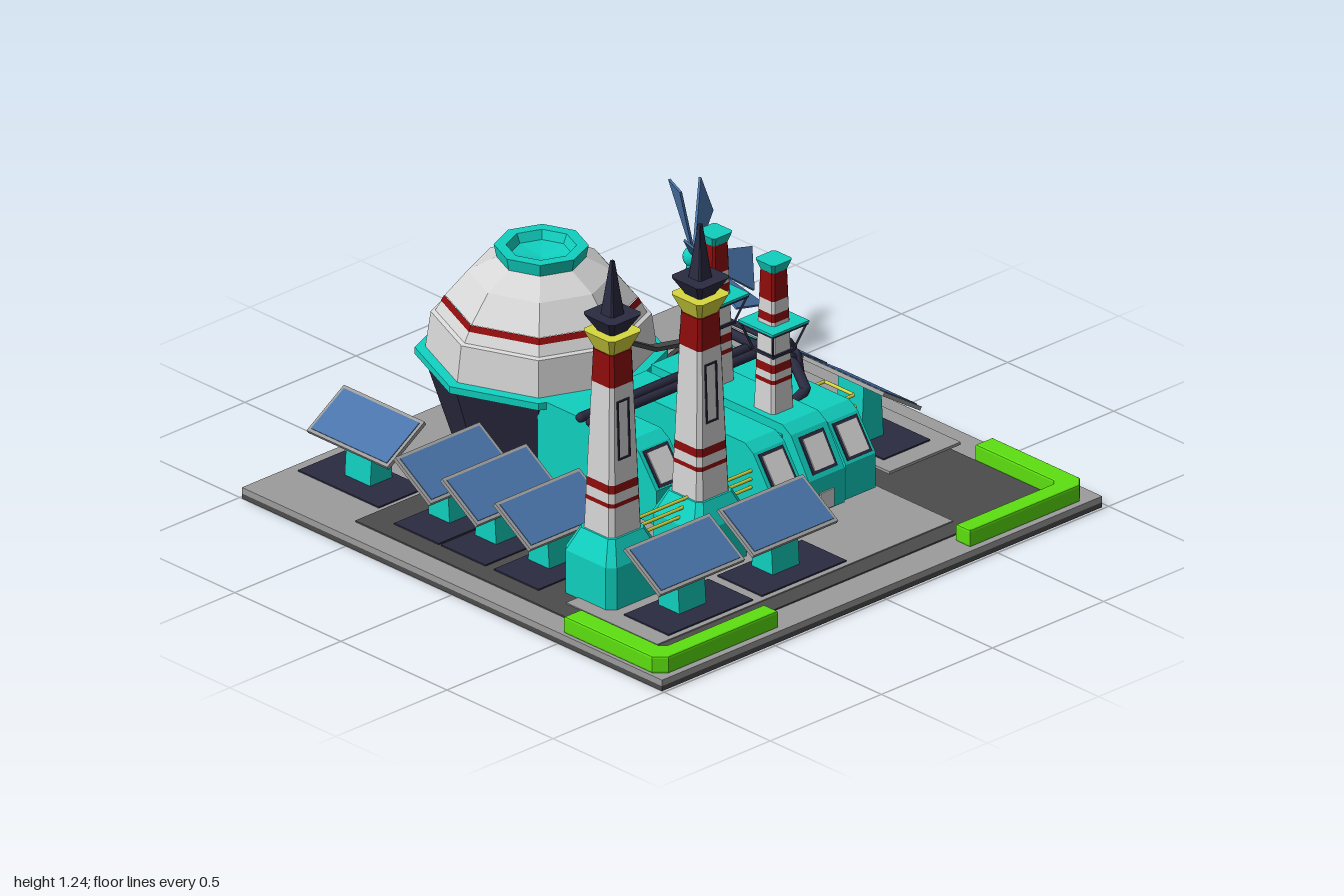
import * as THREE from 'three';

const mat = (name, color) => {
  const m = new THREE.MeshStandardMaterial({ color });
  m.name = name;
  return m;
};

export function createModel() {
  const root = new THREE.Group();
  root.name = 'powerPlant';
  const teal = mat('teal', 0x10d0c0), navy = mat('navy', 0x2b2b42), red = mat('red', 0x8e0c0c);
  const yellow = mat('yellow', 0xd8d840), green = mat('green', 0x5ce010), white = mat('white', 0xd6d6d6);
  const grey = mat('grey', 0x9c9c9c), dark = mat('darkGrey', 0x4c4c4c), blue = mat('blue', 0x4a75aa);

  const flat = (g) => {
    const f = g.index ? g.toNonIndexed() : g;
    f.computeVertexNormals();
    return f;
  };
  const add = (parent, name, geo, m, x = 0, y = 0, z = 0) => {
    const mesh = new THREE.Mesh(geo, m);
    mesh.name = name;
    mesh.position.set(x, y, z);
    parent.add(mesh);
    return mesh;
  };
  // Box given by its limits
  const block = (parent, name, m, x0, x1, y0, y1, z0, z1) =>
    add(parent, name, new THREE.BoxGeometry(x1 - x0, y1 - y0, z1 - z0), m, (x0 + x1) / 2, (y0 + y1) / 2, (z0 + z1) / 2);
  // Tapered square column with chamfered corners, w = half width
  const column = (parent, name, m, y0, y1, w0, w1) => {
    const g = new THREE.CylinderGeometry(w1 / 0.924, w0 / 0.924, y1 - y0, 8);
    g.rotateY(Math.PI / 8);
    const p = g.attributes.position;
    for (let i = 0; i < p.count; i++) {
      const x = p.getX(i), z = p.getZ(i);
      if (Math.abs(x) < Math.abs(z)) p.setX(i, x * 1.9);
      else p.setZ(i, z * 1.9);
    }
    return add(parent, name, flat(g), m, 0, (y0 + y1) / 2, 0);
  };
  // Pipe with straight runs through the points
  const pipe = (name, m, r, pts) => {
    const path = new THREE.CurvePath();
    const v = pts.map((p) => new THREE.Vector3(...p));
    for (let i = 1; i < v.length; i++) path.add(new THREE.LineCurve3(v[i - 1], v[i]));
    add(root, name, new THREE.TubeGeometry(path, 12 * (v.length - 1), r, 8), m);
    for (const e of [v[0], v[v.length - 1]]) add(root, name + 'End', new THREE.SphereGeometry(r, 8, 6), m, e.x, e.y, e.z);
  };

  // Ground slab and paving
  block(root, 'slabLower', dark, -1, 0.98, 0, 0.018, -0.99, 0.99);
  block(root, 'slabUpper', grey, -1, 0.98, 0.018, 0.04, -0.99, 0.99);
  block(root, 'asphalt', dark, -0.91, 0.86, 0.04, 0.045, -0.55, 0.87);
  block(root, 'frontPaving', grey, -0.84, 0.49, 0.045, 0.049, 0.37, 0.8);
  block(root, 'middlePaving', grey, -0.38, 0.49, 0.045, 0.049, -0.5, 0.37);
  block(root, 'raisedPad', grey, 0.51, 0.83, 0.097, 0.107, -0.48, 0.48);

  // Corner hedges
  const hedge = new THREE.Shape();
  [[-0.985, 0.525], [-0.985, 0.93], [-0.95, 0.965], [-0.465, 0.965], [-0.465, 0.91], [-0.9, 0.91], [-0.92, 0.89], [-0.92, 0.525]]
    .forEach(([x, z], i) => (i ? hedge.lineTo(x, -z) : hedge.moveTo(x, -z)));
  for (const s of [1, -1]) {
    const sh = s > 0 ? hedge : new THREE.Shape(hedge.getPoints().map((p) => new THREE.Vector2(-0.055 - p.x, p.y)));
    const g = new THREE.ExtrudeGeometry(sh, { depth: 0.045, bevelThickness: 0.009, bevelSize: 0.006, bevelSegments: 2 });
    g.rotateX(-Math.PI / 2);
    add(root, s > 0 ? 'rightHedge' : 'leftHedge', g, green, 0, 0.049, 0);
  }

  // Solar panels: the low edge faces the local +z
  const solarPanel = (x, z, turn, ground) => {
    const g = new THREE.Group();
    g.name = 'solarPanel';
    g.position.set(x, ground, z);
    g.rotation.y = turn;
    block(g, 'panelPad', navy, -0.19, 0.19, 0, 0.005, -0.105, 0.105);
    const s = new THREE.Shape();
    s.moveTo(-0.08, 0); s.lineTo(0.02, 0); s.lineTo(0.01, 0.155); s.lineTo(-0.07, 0.208);
    const post = new THREE.ExtrudeGeometry(s, { depth: 0.12, bevelEnabled: false });
    post.translate(0, 0, -0.06).rotateY(-Math.PI / 2).scale(1, 1, 1);
    add(g, 'panelPost', post, teal);
    const tilt = new THREE.Group();
    tilt.name = 'panelTable';
    tilt.position.set(0, 0.185, -0.02);
    tilt.rotation.x = 0.574;
    block(tilt, 'panelFrame', grey, -0.19, 0.19, -0.008, 0.006, -0.1, 0.1);
    block(tilt, 'panelCells', blue, -0.178, 0.178, 0.006, 0.009, -0.088, 0.088);
    g.add(tilt);
    root.add(g);
  };
  for (const z of [-0.335, -0.115, 0.135]) solarPanel(-0.65, z, 0, 0.046);
  for (const x of [-0.58, -0.16]) solarPanel(x, 0.675, 0, 0.049);
  solarPanel(-0.68, -0.76, -Math.PI / 2, 0.04);
  for (const z of [-0.21, 0.215]) solarPanel(0.66, z, Math.PI / 2, 0.107);

  // Tall chimneys
  for (const x of [-0.665, -0.27]) {
    const c = new THREE.Group();
    c.name = 'tallChimney';
    c.position.set(x, 0, 0.405);
    column(c, 'chimneyBase', teal, 0.001, 0.2, 0.12, 0.12);
    column(c, 'chimneyShoulder', teal, 0.2, 0.28, 0.12, 0.08);
    const w = (y) => 0.073 - (y - 0.27) * 0.036;
    [[0.27, 0.385, white], [0.385, 0.4, red], [0.4, 0.435, white], [0.435, 0.465, red], [0.465, 0.81, white], [0.81, 0.925, red]]
      .forEach(([a, b, m]) => column(c, m === red ? 'chimneyStripe' : 'chimneyShaft', m, a, b, w(a), w(b)));
    column(c, 'chimneyRim', yellow, 0.925, 0.99, 0.045, 0.073);
    column(c, 'chimneyCollar', navy, 0.985, 1.05, 0.035, 0.073);
    column(c, 'chimneySpike', navy, 1.05, 1.24, 0.03, 0.006);
    // Outlined access panel on the front
    const f = new THREE.Group();
    f.name = 'accessPanel';
    f.position.set(-0.008, 0.655, w(0.655) + 0.001);
    f.rotation.x = -0.036;
    for (const s of [-1, 1]) {
      block(f, 'panelSide', navy, s * 0.024 - 0.003, s * 0.024 + 0.003, -0.105, 0.105, 0, 0.004);
      block(f, 'panelEnd', navy, -0.024, 0.024, s * 0.102 - 0.003, s * 0.102 + 0.003, 0, 0.004);
    }
    c.add(f);
    root.add(c);
  }

  // Small chimneys with a gallery
  for (const z of [0, 0.28]) {
    const c = new THREE.Group();
    c.name = 'smallChimney';
    c.position.set(0.18, 0, z);
    const w = (y) => 0.051 - (y - 0.36) * 0.032;
    [[0.36, 0.49, white], [0.49, 0.505, red], [0.505, 0.53, white], [0.53, 0.56, red], [0.56, 0.71, white],
      [0.71, 0.74, red], [0.74, 0.785, white], [0.785, 0.885, red]]
      .forEach(([a, b, m]) => column(c, m === red ? 'stackStripe' : 'stackShaft', m, a, b, w(a), w(b)));
    column(c, 'stackCap', teal, 0.885, 0.92, 0.034, 0.046);
    block(c, 'galleryFloor', teal, -0.082, 0.082, 0.69, 0.697, -0.082, 0.082);
    block(c, 'galleryRing', navy, -0.08, 0.08, 0.682, 0.69, -0.08, 0.08);
    block(c, 'galleryFoot', navy, -0.05, 0.05, 0.587, 0.597, -0.05, 0.05);
    for (const sx of [-1, 1]) for (const sz of [-1, 1]) {
      const path = new THREE.LineCurve3(new THREE.Vector3(sx * 0.046, 0.59, sz * 0.046), new THREE.Vector3(sx * 0.077, 0.688, sz * 0.077));
      add(c, 'galleryStrut', new THREE.TubeGeometry(path, 1, 0.004, 5), navy);
    }
    root.add(c);
  }

  // Eight-sided reactor dome, stacked rings of [radius, height]
  const ring = (name, m, pts) =>
    add(root, name, flat(new THREE.LatheGeometry(pts.map((p) => new THREE.Vector2(...p)), 8)), m, -0.035, 0, -0.59);
  ring('domeBowl', navy, [[0, 0.041], [0.29, 0.041], [0.385, 0.335]]);
  ring('domeRim', teal, [[0.37, 0.33], [0.412, 0.335], [0.412, 0.36], [0.36, 0.365]]);
  ring('domeWall', white, [[0.378, 0.36], [0.36, 0.49], [0.345, 0.495], [0.325, 0.53]]);
  ring('domeStripe', red, [[0.327, 0.53], [0.316, 0.55]]);
  ring('domeRoof', white, [[0.314, 0.55], [0.24, 0.64], [0.14, 0.695]]);
  ring('domeCrown', teal, [[0.145, 0.685], [0.155, 0.735], [0.115, 0.735], [0.1, 0.705], [0, 0.69]]);

  // Halls: side profile extruded across x, with a sloped front window
  const hall = (name, x0, x1, zf, zb, top) => {
    const s = new THREE.Shape();
    [[zf, 0.095], [zf, 0.22], [zf - 0.085, top - 0.025], [zf - 0.125, top], [zb, top], [zb, 0.095]]
      .forEach(([z, y], i) => (i ? s.lineTo(-z, y) : s.moveTo(-z, y)));
    const g = new THREE.ExtrudeGeometry(s, { depth: x1 - x0, bevelEnabled: false });
    g.rotateY(Math.PI / 2);
    add(root, name, g, teal, x0, 0, 0);
    const win = new THREE.Group(), rise = top - 0.245;
    win.name = name + 'Window';
    win.position.set((x0 + x1) / 2, rise / 2 + 0.11, zf - 0.0425);
    win.rotation.x = -Math.atan2(0.085, rise);
    block(win, 'windowFrame', navy, -0.055, 0.055, -0.066, 0.066, 0, 0.004);
    block(win, 'windowPane', white, -0.045, 0.045, -0.056, 0.056, 0.004, 0.008);
    root.add(win);
    win.position.y = (0.22 + top - 0.025) / 2;
  };
  hall('rightBay', -0.055, 0.085, 0.515, -0.22, 0.37);
  hall('middleBay', 0.105, 0.265, 0.525, -0.22, 0.385);
  hall('leftBay', 0.28, 0.415, 0.515, -0.22, 0.37);
  hall('tunnel', -0.3, -0.16, 0.23, -0.33, 0.36);
  block(root, 'hallCore', teal, -0.05, 0.41, 0.095, 0.35, -0.21, 0.4);
  block(root, 'door', white, 0.155, 0.215, 0.1, 0.165, 0.525, 0.53);
  block(root, 'sideWindowFrame', navy, 0.415, 0.418, 0.14, 0.23, 0.395, 0.505);
  block(root, 'sideWindow', white, 0.418, 0.421, 0.15, 0.222, 0.405, 0.495);

  // Dark pipes over the halls
  for (const z of [-0.033, 0.015])
    pipe('crossPipe', navy, 0.017, [[-0.39, 0.425, z], [0.49, 0.425, z], [0.515, 0.4, z], [0.515, 0.22, z], [0.49, 0.2, z], [0.42, 0.2, z]]);
  pipe('roofPipe', navy, 0.018, [[0.27, 0.36, 0.27], [0.34, 0.385, 0.265], [0.37, 0.44, 0.18], [0.37, 0.445, -0.23], [0.37, 0.41, -0.26], [0.37, 0.3, -0.26]]);
  pipe('wallPipe', navy, 0.01, [[0.37, 0.42, -0.25], [0.44, 0.42, -0.25], [0.465, 0.42, -0.21], [0.465, 0.42, 0.1], [0.465, 0.2, 0.14]]);
  pipe('lowPipe', navy, 0.015, [[0.46, 0.165, 0.22], [0.46, 0.165, -0.12]]);

  // Yellow feed pipes
  for (const y of [0.22, 0.25, 0.28]) pipe('feedPipe', yellow, 0.006, [[-0.6, y, 0.42], [0, y, 0.42]]);
  [0.23, 0.265, 0.3, 0.33].forEach((y, i) => {
    const x = 0.46 + 0.015 * i;
    pipe('loopPipe', yellow, 0.006, [[0.41, y, 0.38 - 0.02 * i], [x, y, 0.38 - 0.02 * i], [x, y, 0.18], [0.41, y, 0.18]]);
  });

  // Walkway from the dome down to the pad
  const walk = [[0, 0.5, -0.235], [0.13, 0.43, -0.235], [0.33, 0.38, -0.26], [0.37, 0.28, -0.38], [0.43, 0.1, -0.58]].map((p) => new THREE.Vector3(...p));
  for (let i = 1; i < walk.length; i++) {
    const a = walk[i - 1], b = walk[i];
    const m = add(root, 'walkway', new THREE.BoxGeometry(0.035, 0.014, a.distanceTo(b) + 0.01), dark);
    m.position.copy(a).lerp(b, 0.5);
    m.lookAt(b);
  }

  // Wind turbine facing the front left corner, tilted up
  add(root, 'turbineMast', new THREE.CylinderGeometry(0.024, 0.058, 0.38, 10), teal, 0.7, 0.23, -0.64);
  const rotor = new THREE.Group();
  rotor.name = 'turbineRotor';
  rotor.position.set(0.7, 0.425, -0.645);
  rotor.lookAt(1.28, 0.985, -0.065);
  add(rotor, 'turbineHub', new THREE.SphereGeometry(0.035, 12, 8), teal);
  const nose = new THREE.ConeGeometry(0.03, 0.1, 10);
  nose.rotateX(Math.PI / 2);
  add(rotor, 'turbineNose', nose, teal, 0, 0, 0.055);
  const bs = new THREE.Shape();
  bs.moveTo(-0.016, 0.02); bs.lineTo(0.016, 0.02); bs.lineTo(0.078, 0.255); bs.lineTo(-0.078, 0.27);
  const bladeGeo = new THREE.ExtrudeGeometry(bs, { depth: 0.008, bevelEnabled: false });
  bladeGeo.rotateY(0.3);
  for (let i = 0; i < 5; i++) {
    const arm = new THREE.Group();
    arm.name = 'bladeArm';
    arm.rotation.z = (i * Math.PI * 2) / 5;
    add(arm, 'blade', bladeGeo, blue).rotation.x = 0.36;
    rotor.add(arm);
  }
  root.add(rotor);
  return root;
}
